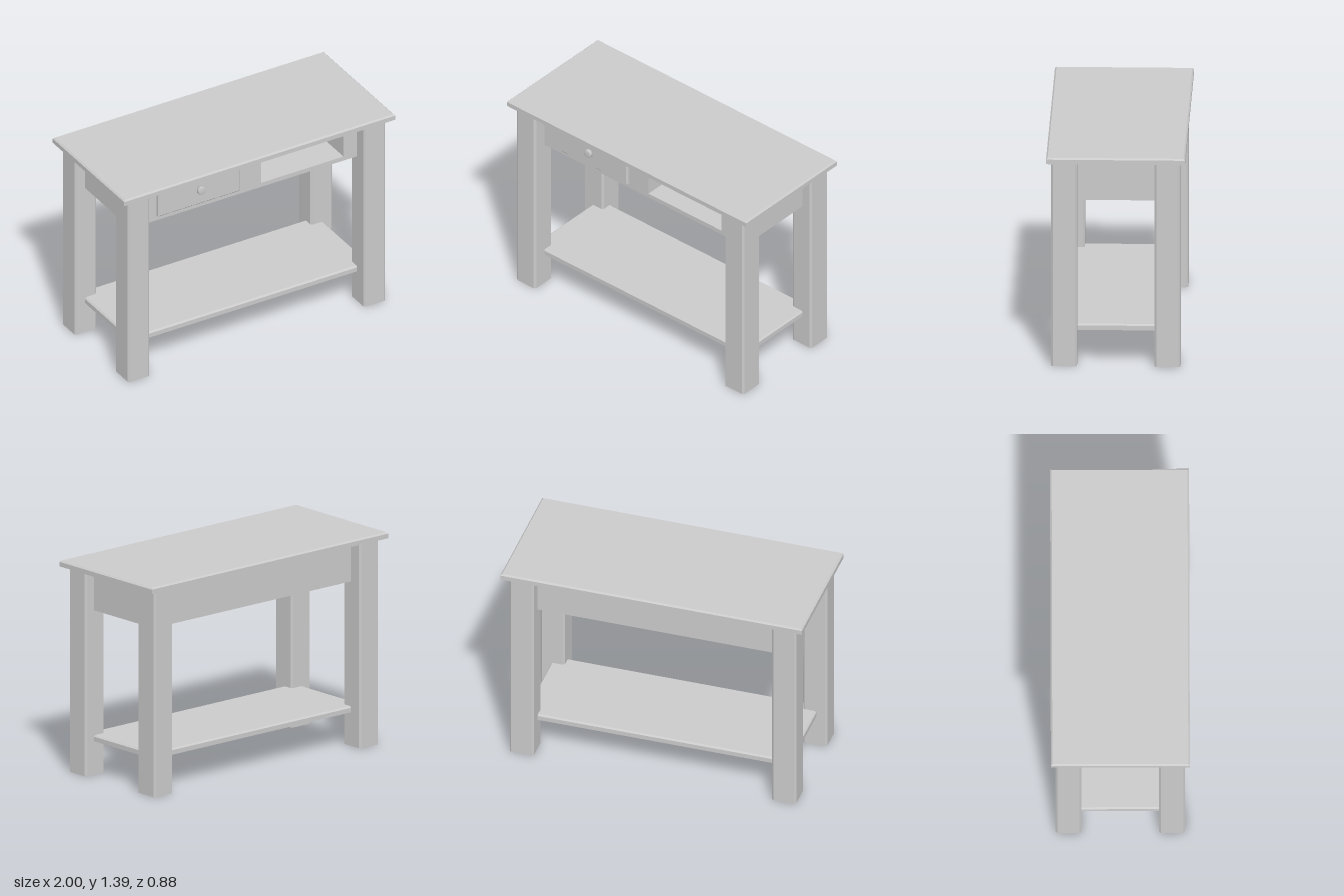
import * as THREE from 'three';

const material = new THREE.MeshStandardMaterial({ color: 0xcccccc });

function add(parent, name, geometry, x = 0, y = 0, z = 0) {
  const mesh = new THREE.Mesh(geometry, material);
  mesh.name = name;
  mesh.position.set(x, y, z);
  parent.add(mesh);
  return mesh;
}

// Box whose +y face is chamfered all round by c
function chamferedSlab(w, h, d, c) {
  const box = new THREE.BoxGeometry(w, h, d, 1, 2, 1);
  const p = box.attributes.position;
  for (let i = 0; i < p.count; i++) {
    if (p.getY(i) > h / 4) {
      p.setX(i, p.getX(i) - Math.sign(p.getX(i)) * c);
      p.setZ(i, p.getZ(i) - Math.sign(p.getZ(i)) * c);
    } else if (p.getY(i) > -h / 4) {
      p.setY(i, h / 2 - c);
    }
  }
  const flat = box.toNonIndexed();
  flat.computeVertexNormals();
  return flat;
}

// Square post standing on y = 0 with its four long edges chamfered
function postGeometry(w, h, d, c) {
  const a = w / 2, b = d / 2;
  const outline = [[a, -b + c], [a, b - c], [a - c, b], [-a + c, b],
    [-a, b - c], [-a, -b + c], [-a + c, -b], [a - c, -b]];
  const shape = new THREE.Shape(outline.map(([x, y]) => new THREE.Vector2(x, y)));
  return new THREE.ExtrudeGeometry(shape, { depth: h, bevelEnabled: false }).rotateX(-Math.PI / 2);
}

export function createModel() {
  const table = new THREE.Group();
  table.name = 'consoleTable';

  // Top and lower shelf
  add(table, 'tableTop', chamferedSlab(2, 0.04, 0.88, 0.01), 0, 1.37, 0);
  add(table, 'lowerShelf', chamferedSlab(1.76, 0.04, 0.64, 0.01), 0, 0.24, 0);

  // Four legs
  const leg = postGeometry(0.16, 1.35, 0.165, 0.012);
  for (const [sx, side] of [[1, 'Left'], [-1, 'Right']]) {
    for (const [sz, end] of [[1, 'front'], [-1, 'back']]) {
      add(table, `${end}${side}Leg`, leg, sx * 0.87, 0, sz * 0.3275);
    }
  }

  // Apron case: a profile with two drawer bays open at the top, closed by a back panel
  const bottom = 1.08, floor = 1.11, top = 1.35;
  const profile = new THREE.Shape([
    [-0.88, bottom], [0.88, bottom], [0.88, top],
    [0.69, top], [0.69, floor], [0.08, floor], [0.08, top],
    [-0.08, top], [-0.08, floor], [-0.69, floor], [-0.69, top], [-0.88, top],
  ].map(([x, y]) => new THREE.Vector2(x, y)));
  add(table, 'apronCase', new THREE.ExtrudeGeometry(profile, { depth: 0.61, bevelEnabled: false }), 0, 0, -0.29);
  add(table, 'backApron', new THREE.BoxGeometry(1.76, top - bottom, 0.03), 0, (top + bottom) / 2, -0.305);

  // Right-hand drawer: chamfered front, box and knob; the left bay stays open
  const drawer = new THREE.Group();
  drawer.name = 'drawer';
  drawer.position.set(-0.385, 1.23, 0);
  table.add(drawer);
  add(drawer, 'drawerFront', chamferedSlab(0.605, 0.04, 0.235, 0.008).rotateX(Math.PI / 2), 0, 0, 0.32);
  add(drawer, 'drawerBottom', new THREE.BoxGeometry(0.58, 0.015, 0.56), 0, -0.105, 0.02);
  add(drawer, 'drawerBack', new THREE.BoxGeometry(0.58, 0.18, 0.015), 0, -0.02, -0.25);
  for (const s of [-1, 1]) {
    add(drawer, 'drawerSide', new THREE.BoxGeometry(0.015, 0.18, 0.56), s * 0.28, -0.02, 0.02);
  }
  const knobProfile = [[0, 0], [0.016, 0], [0.016, 0.012], [0.029, 0.016],
    [0.029, 0.034], [0.025, 0.039], [0, 0.039]].map(([r, y]) => new THREE.Vector2(r, y));
  add(drawer, 'drawerKnob', new THREE.LatheGeometry(knobProfile, 24).rotateX(Math.PI / 2), 0, 0, 0.34);

  return table;
}
